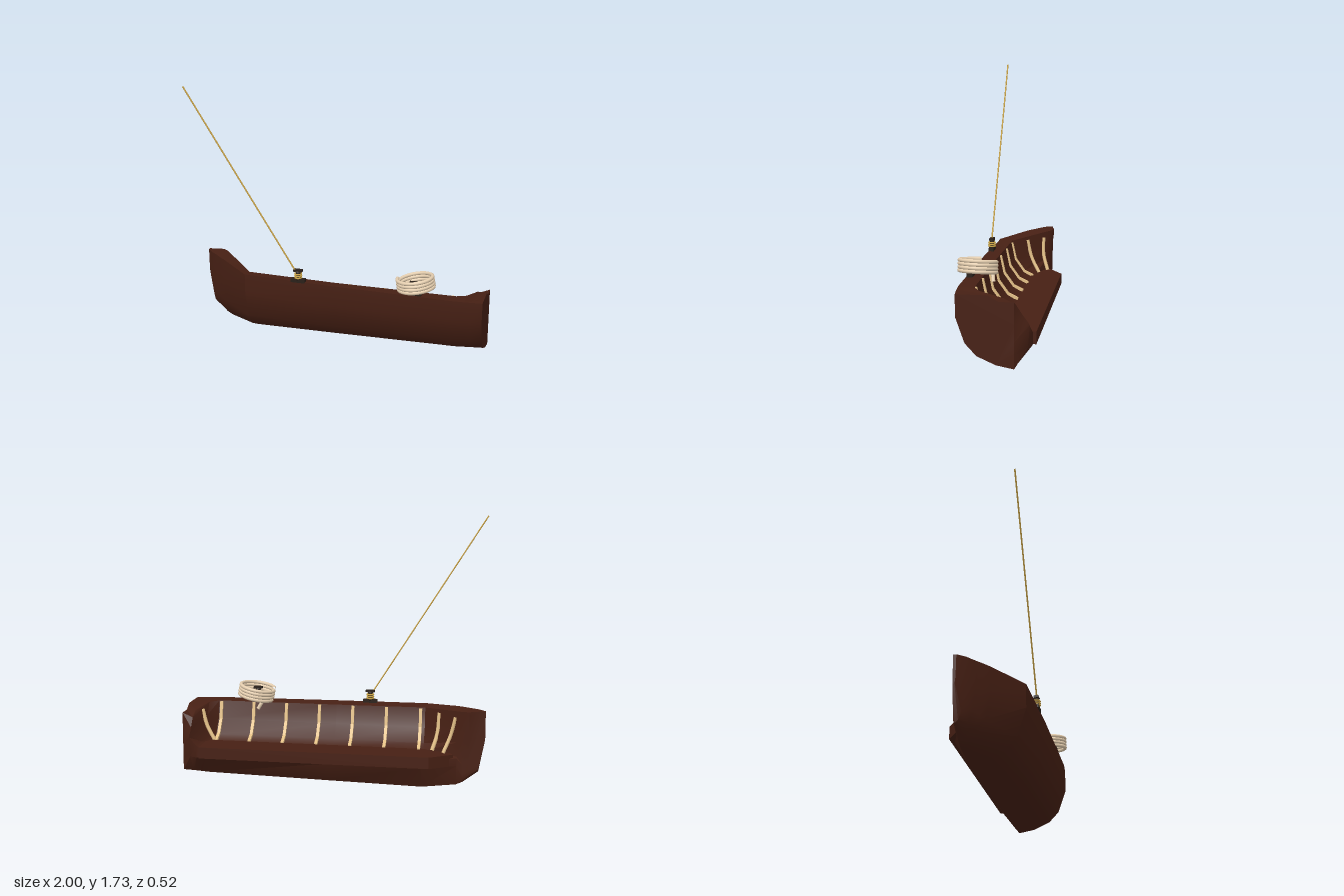
import * as THREE from 'three';
import { toCreasedNormals } from 'three/addons/utils/BufferGeometryUtils.js';

const mat = (color) => new THREE.MeshStandardMaterial({ color });
const wood = mat(0x472014);
const pale = mat(0xe2bf86);
const ropeMat = mat(0xe6cfb0);
const gold = mat(0xcda648);
const dark = mat(0x2a2019);
wood.side = THREE.DoubleSide;

function add(parent, name, geometry, material, x = 0, y = 0, z = 0) {
  const mesh = new THREE.Mesh(geometry, material);
  mesh.name = name;
  mesh.position.set(x, y, z);
  parent.add(mesh);
  return mesh;
}

const v = (p) => new THREE.Vector3(...p);
function tube(points, radius, segments = 16, sides = 6) {
  return new THREE.TubeGeometry(new THREE.CatmullRomCurve3(points.map(v)), segments, radius, sides);
}

// Outer half section as [width fraction, height fraction], keel to gunwale
const SIDE = [[0, 0], [0.31, 0.045], [0.64, 0.16], [0.84, 0.33], [1, 0.69], [1, 1]];

// Inner wall, broken-off edge and low side as [z, y], gunwale down to near the keel
const MID = [[0.11, 0.465], [0.085, 0.34], [0.02, 0.25], [-0.05, 0.21], [-0.24, 0.2], [-0.24, 0.15]];
const FORE = [[0.095, 0.47], [0.068, 0.34], [0.005, 0.25], [-0.065, 0.21], [-0.24, 0.2], [-0.24, 0.15]];
// Flat back of the solid bow, with an optional lip at the top
const bowBack = (top, low, lip = 0) =>
  [0, 0.05, 0.4, 0.75, 0.9, 0.96].map((t) => [-0.16 - (t < 0.1 ? lip : 0), top + (low - top) * t]);

// Stations: x, keel height, gunwale height, half width, inner loop
const STATIONS = [
  [-1, 0.33, 0.512, 0.008, bowBack(0.512, 0.33)],
  [-0.96, 0.12, 0.512, 0.055, bowBack(0.512, 0.12)],
  [-0.9, 0.075, 0.51, 0.1, bowBack(0.51, 0.075, 0.02)],
  [-0.86, 0.045, 0.508, 0.135, bowBack(0.505, 0.045)],
  [-0.82, 0.027, 0.506, 0.165, [[-0.12, 0.5], [-0.125, 0.4], [-0.135, 0.3], [-0.145, 0.21], [-0.16, 0.2], [-0.16, 0.15]]],
  [-0.6, 0, 0.482, 0.33, FORE],
  [0, 0.012, 0.476, 0.35, MID],
  [0.82, 0.03, 0.469, 0.357, MID],
  [0.88, 0.034, 0.468, 0.352, [[0.07, 0.46], [0.02, 0.38], [-0.06, 0.28], [-0.12, 0.23], [-0.24, 0.23], [-0.24, 0.15]]],
  [0.93, 0.037, 0.468, 0.348, [[-0.08, 0.435], [-0.15, 0.4], [-0.19, 0.34], [-0.22, 0.3], [-0.23, 0.28], [-0.22, 0.15]]],
  [1, 0.04, 0.467, 0.34, [[0, 0.465], [-0.06, 0.43], [-0.15, 0.43], [-0.15, 0.3], [-0.15, 0.2], [-0.15, 0.12]]],
];

function hullGeometry() {
  const loops = STATIONS.map(([, keel, top, w, inner]) => [
    ...SIDE.map(([a, t]) => [-0.15 + w * a, keel + (top - keel) * t]), ...inner]);
  const n = loops[0].length;
  const pos = [];
  const index = [];
  loops.forEach((loop, i) => loop.forEach(([z, y]) => pos.push(STATIONS[i][0], y, z)));
  for (let i = 0; i < loops.length - 1; i++) {
    for (let j = 0; j < n; j++) {
      const k = (j + 1) % n;
      const a = i * n + j, b = a + n, c = (i + 1) * n + k, d = i * n + k;
      index.push(a, b, c, a, c, d);
    }
  }
  // Stem and transom caps
  for (const i of [0, loops.length - 1]) {
    const contour = loops[i].map(([z, y]) => new THREE.Vector2(z, y));
    for (const [a, b, c] of THREE.ShapeUtils.triangulateShape(contour, [])) {
      const o = i * n;
      if (i === 0) index.push(o + a, o + b, o + c);
      else index.push(o + a, o + c, o + b);
    }
  }
  const g = new THREE.BufferGeometry();
  g.setAttribute('position', new THREE.Float32BufferAttribute(pos, 3));
  g.setIndex(index);
  return toCreasedNormals(g, 0.6);
}

// Low slab along the open side
function sidePlank() {
  const outline = [[-0.8, -0.16], [-0.65, -0.26], [0.86, -0.26], [0.86, -0.05], [-0.62, -0.05], [-0.78, -0.13]];
  const shape = new THREE.Shape(outline.map(([x, z]) => new THREE.Vector2(x, -z)));
  return new THREE.ExtrudeGeometry(shape, { depth: 0.075, bevelEnabled: false }).rotateX(-Math.PI / 2);
}

// Flat curved strip that follows the inner wall
function ribGeometry() {
  const wall = [[0.112, 0.462], [0.092, 0.34], [0.028, 0.245], [-0.05, 0.215]];
  const face = [[-0.05, 0.232], [0.012, 0.262], [0.072, 0.345], [0.098, 0.462]];
  const shape = new THREE.Shape([...wall, ...face].map(([z, y]) => new THREE.Vector2(-z, y)));
  return new THREE.ExtrudeGeometry(shape, { depth: 0.02, bevelEnabled: false })
    .translate(0, 0, -0.01).rotateY(Math.PI / 2);
}

// Mooring post: plate, waisted neck and cross bar
function mooringPost(x) {
  const g = new THREE.Group();
  g.name = 'mooringPost';
  g.position.set(x, 0.47, 0.18);
  add(g, 'postBase', new THREE.BoxGeometry(0.095, 0.024, 0.036), dark, 0, 0.014, 0);
  const neck = [[0, 0], [0.02, 0], [0.016, 0.02], [0.014, 0.045], [0.022, 0.062], [0, 0.062]];
  add(g, 'postNeck', new THREE.LatheGeometry(neck.map(([r, y]) => new THREE.Vector2(r, y)), 10), dark, 0, 0.018, 0);
  add(g, 'postTop', new THREE.BoxGeometry(0.06, 0.014, 0.03), dark, 0, 0.083, 0);
  return g;
}

export function createModel() {
  const model = new THREE.Group();
  model.name = 'boat';

  add(model, 'hull', hullGeometry(), wood);
  add(model, 'sidePlank', sidePlank(), wood, 0, 0.15, 0);

  // Ribs along the inner wall, stepping in toward the bow
  for (let i = 0; i < 7; i++) {
    const x = -0.57 + i * 0.2285;
    add(model, 'rib', ribGeometry(), pale, x, 0, Math.min(0, x * 0.025));
  }
  const endRibs = [
    [[-0.7, 0.46, -0.005], [-0.69, 0.33, -0.038], [-0.66, 0.228, -0.095]],
    [[-0.81, 0.46, -0.11], [-0.78, 0.34, -0.115], [-0.735, 0.23, -0.15]],
    [[0.9, 0.43, -0.02], [0.865, 0.32, -0.035], [0.81, 0.23, -0.055]],
  ];
  for (const path of endRibs) add(model, 'endRib', tube(path, 0.013), pale);

  // Posts on the gunwale
  model.add(mooringPost(-0.22), mooringPost(0.56));

  // Taut line with its turns around the post
  add(model, 'line', tube([[-0.235, 0.545, 0.184], [-0.61, 1.137, 0.184], [-0.985, 1.732, 0.184]], 0.005, 4), gold);
  for (let i = 0; i < 3; i++) {
    add(model, 'lineTurn', new THREE.TorusGeometry(0.022, 0.005, 6, 16).rotateX(Math.PI / 2), gold, -0.22, 0.504 + i * 0.013, 0.18);
  }

  // Coiled rope, tilted, with a loose tail
  const coil = new THREE.Group();
  coil.name = 'ropeCoil';
  coil.position.set(0.56, 0.533, 0.136);
  coil.rotation.z = 0.18;
  const turns = 4, helix = [];
  for (let i = 0; i <= turns * 16; i++) {
    const a = Math.PI + (i / 16) * Math.PI * 2;
    helix.push([Math.cos(a) * 0.114, -0.04 + (i / 16) * 0.021, Math.sin(a) * 0.114]);
  }
  add(coil, 'coiledRope', tube(helix, 0.012, 240, 8), ropeMat);
  model.add(coil);
  add(model, 'ropeTail', tube([[0.45, 0.475, 0.14], [0.47, 0.478, 0.17], [0.475, 0.485, 0.12], [0.5, 0.48, 0.06], [0.53, 0.43, 0.045]], 0.012, 24, 8), ropeMat);

  return model;
}
